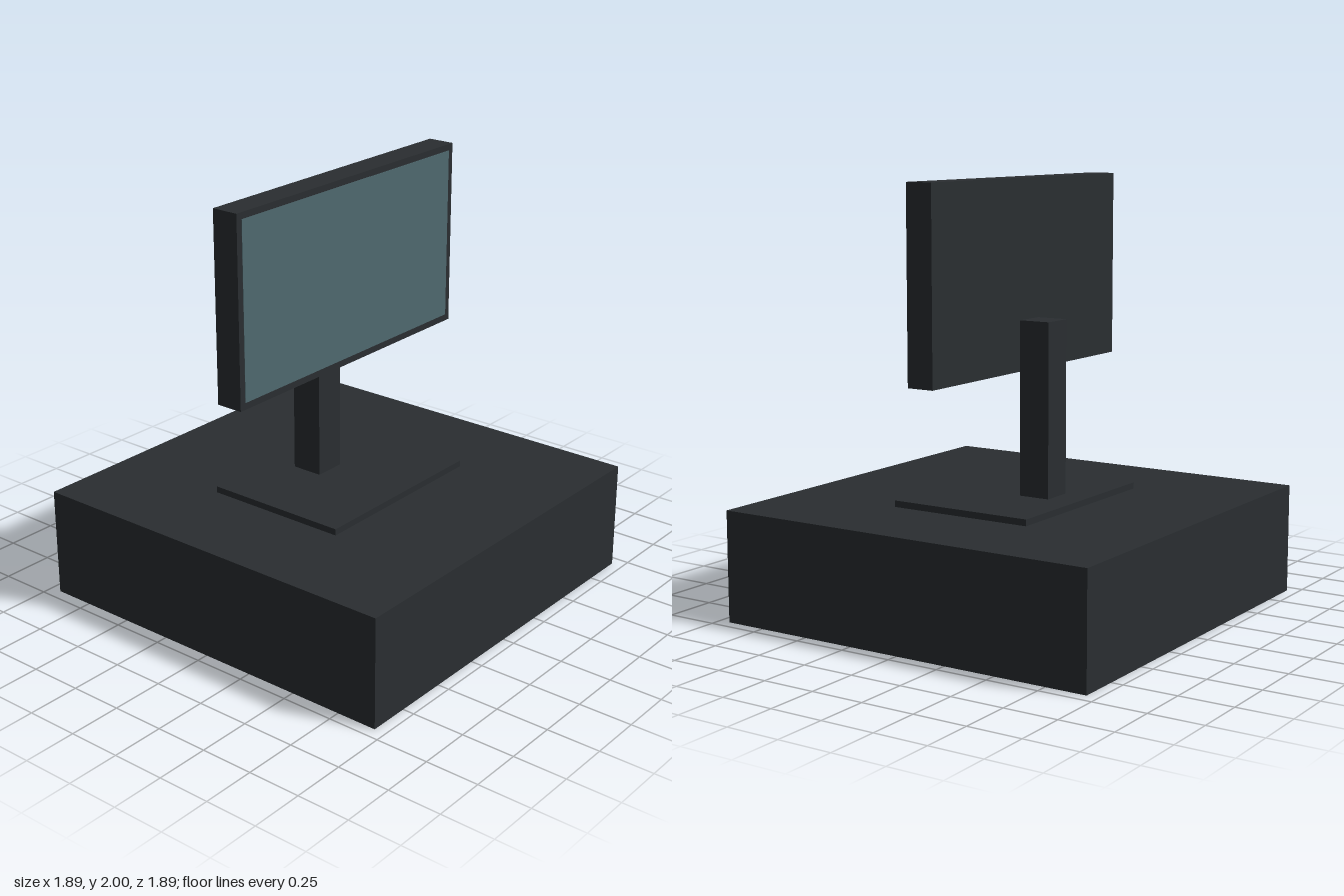
import * as THREE from 'three';

export function createModel() {
  const model = new THREE.Group();
  model.name = 'desktopComputer';

  const casing = new THREE.MeshStandardMaterial({ color: 0x2a2e31 });
  const glass = new THREE.MeshStandardMaterial({ color: 0x506a70 });

  // Box given by its width and its y and z extents, centred on x = 0
  const addBox = (name, width, [y0, y1], [z0, z1], material = casing) => {
    const mesh = new THREE.Mesh(new THREE.BoxGeometry(width, y1 - y0, z1 - z0), material);
    mesh.position.set(0, (y0 + y1) / 2, (z0 + z1) / 2);
    mesh.name = name;
    model.add(mesh);
  };

  // Computer case lying flat
  addBox('computerCase', 1.89, [0, 0.52], [-0.945, 0.945]);

  // Monitor stand: foot plate and column behind the display
  addBox('standFoot', 0.945, [0.52, 0.55], [-0.354, 0.354]);
  addBox('standColumn', 0.152, [0.55, 1.36], [-0.217, -0.065]);

  // Display housing
  addBox('displayHousing', 1.51, [1.125, 2], [-0.065, 0.065]);

  // Screen panel, a hair proud of the housing
  addBox('screen', 1.45, [1.157, 1.97], [0.06, 0.067], glass);

  return model;
}
